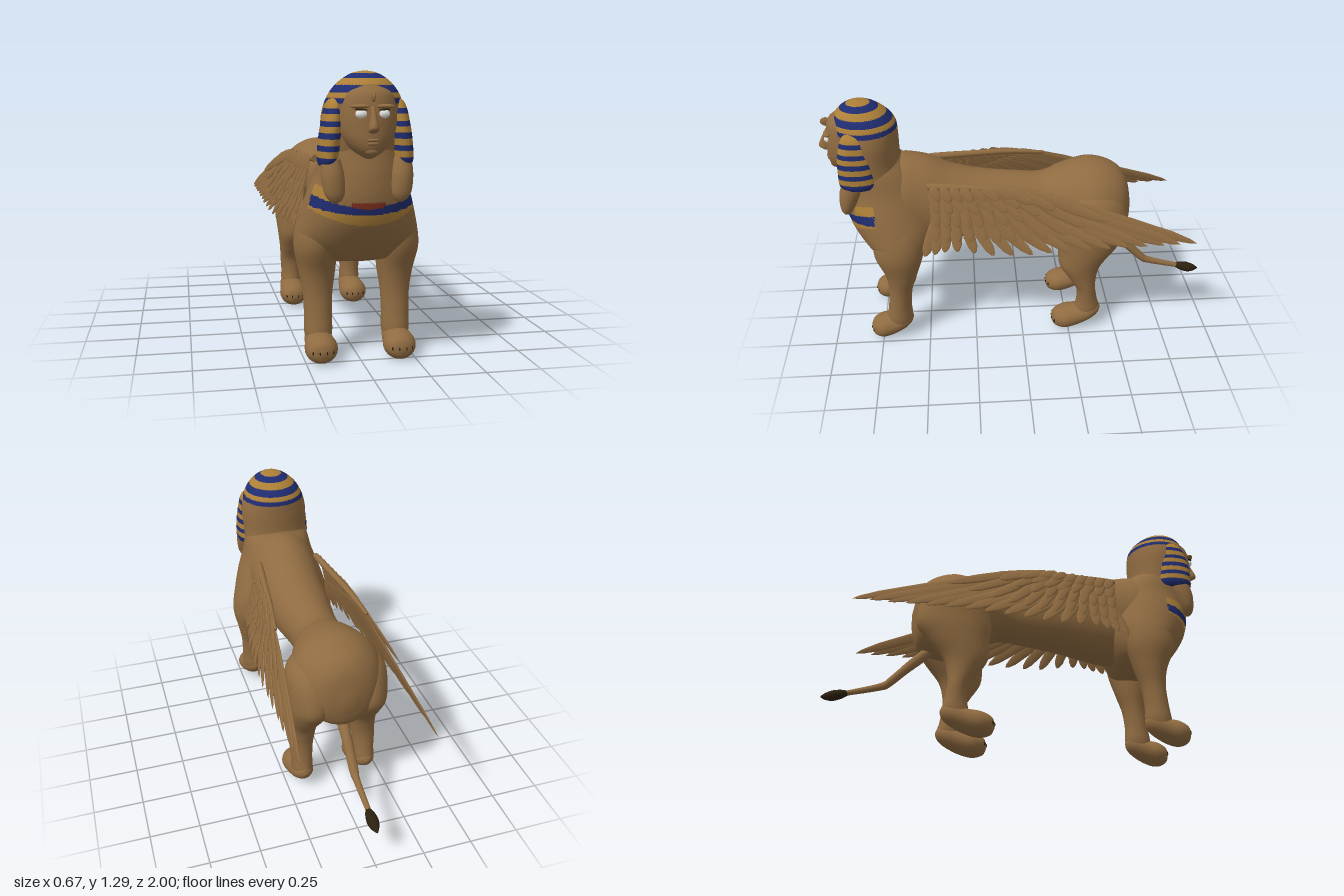
import * as THREE from 'three';
import { mergeGeometries } from 'three/addons/utils/BufferGeometryUtils.js';

const mat = (name, color) => Object.assign(new THREE.MeshStandardMaterial({ color }), { name });

// Smooth closed surface through elliptical sections [x, y, z, rx, r2], stacked along 'y' or 'z'
function loft(rows, axis, seg = 28, steps = 6) {
  const curve = (pick) => new THREE.CatmullRomCurve3(rows.map(pick), false, 'catmullrom', 0.5);
  const centre = curve((r) => new THREE.Vector3(r[0], r[1], r[2]));
  const radius = curve((r) => new THREE.Vector3(r[3], r[4], 0));
  const n = (rows.length - 1) * steps, pos = [], idx = [];
  for (let i = 0; i <= n; i++) {
    const c = centre.getPoint(i / n), r = radius.getPoint(i / n);
    for (let j = 0; j < seg; j++) {
      const a = (j / seg) * Math.PI * 2;
      const u = Math.max(r.x, 0.001) * Math.cos(a), v = Math.max(r.y, 0.001) * Math.sin(a);
      pos.push(c.x + u, axis === 'z' ? c.y + v : c.y, axis === 'z' ? c.z : c.z + v);
    }
  }
  for (let i = 0; i < n; i++) for (let j = 0; j < seg; j++) {
    const a = i * seg + j, b = i * seg + ((j + 1) % seg);
    idx.push(a, b, a + seg, b, b + seg, a + seg);
  }
  const first = rows[0], last = rows[rows.length - 1], k = pos.length / 3;
  pos.push(...first.slice(0, 3), ...last.slice(0, 3));
  for (let j = 0; j < seg; j++) {
    const j2 = (j + 1) % seg;
    idx.push(k, j2, j, k + 1, n * seg + j, n * seg + j2);
  }
  // turn the faces outward
  let volume = 0;
  const P = (i) => new THREE.Vector3().fromArray(pos, i * 3);
  for (let i = 0; i < idx.length; i += 3) volume += P(idx[i]).dot(P(idx[i + 1]).cross(P(idx[i + 2])));
  if (volume < 0) idx.reverse();
  const g = new THREE.BufferGeometry();
  g.setAttribute('position', new THREE.Float32BufferAttribute(pos, 3));
  g.setIndex(idx);
  g.computeVertexNormals();
  return g;
}

// Sort triangles into material groups by a rule on their centre
function paint(g, count, rule) {
  const p = g.attributes.position, src = g.index.array, sets = Array.from({ length: count }, () => []);
  for (let i = 0; i < src.length; i += 3) {
    const t = [src[i], src[i + 1], src[i + 2]];
    const mid = (f) => (p[f](t[0]) + p[f](t[1]) + p[f](t[2])) / 3;
    sets[rule(mid('getX'), mid('getY'), mid('getZ'))].push(...t);
  }
  g.setIndex(sets.flat());
  let start = 0;
  sets.forEach((s, m) => { g.addGroup(start, s.length, m); start += s.length; });
  return g;
}

export function createModel() {
  const model = new THREE.Group();
  const body = mat('sandy brown', 0x8f6b41), gold = mat('gold', 0xac7f37), blue = mat('deep blue', 0x1f2c70);
  const red = mat('dark red', 0x80301f), white = mat('eye white', 0xe4e4e0), dark = mat('dark brown', 0x2c2110);
  const add = (name, g, m) => {
    const mesh = new THREE.Mesh(g, m);
    mesh.name = name;
    model.add(mesh);
    return mesh;
  };
  const side = (s, rows) => rows.map(([x, ...rest]) => [x * s, ...rest]);
  const blob = (name, m, x, y, z, rx, ry, rz) => {
    const mesh = add(name, new THREE.SphereGeometry(1, 16, 10), m);
    mesh.position.set(x, y, z);
    mesh.scale.set(rx, ry, rz);
    return mesh;
  };

  // Trunk and rump
  add('trunk', loft([
    [0, .72, .75, .05, .05], [0, .74, .65, .19, .235], [0, .735, .5, .188, .25], [0, .715, .35, .172, .208],
    [0, .715, .2, .16, .17], [0, .72, 0, .133, .145], [0, .725, -.12, .137, .137], [0, .72, -.22, .18, .18],
    [0, .7, -.36, .23, .23], [0, .69, -.48, .2, .21], [0, .675, -.55, .13, .155], [0, .665, -.58, .03, .04],
  ], 'z', 48), body);

  // Chest and neck, with the painted collar
  const collar = (x, y, z) => {
    const q = x * x, low = .685 + .5 * q, high = .718 + .9 * q, ax = Math.abs(x);
    if (z < .735) return 0;
    if (ax < .075 && y > .71 + q * 2 && y < .74) return 3;
    if (y > low && y < high) return 2;
    if (y > .637 + 1.2 * q && y <= low) return 1;
    return ax > .16 && y >= high && y < high + .052 ? 1 : 0;
  };
  add('chest', paint(loft([
    [0, 1.08, .74, .12, .12], [0, 1, .74, .155, .137], [0, .94, .715, .18, .17], [0, .85, .69, .2, .21],
    [0, .75, .67, .235, .23], [0, .65, .645, .265, .23], [0, .56, .63, .284, .19], [0, .49, .62, .262, .14],
    [0, .455, .62, .19, .1], [0, .44, .62, .05, .05],
  ], 'y', 120, 14), 4, collar), [body, gold, blue, red]);

  // Headdress dome with striped crown
  const crown = (x, y, z) => {
    const face = z > .84 && (x / .125) ** 2 + ((y - 1.1) / .135) ** 2 < 1;
    if (face || y < 1.155) return 0;
    return (y > 1.26 && y < 1.281) || (y > 1.2 && y < 1.232) || y < 1.178 ? 2 : 1;
  };
  add('headdress', paint(loft([
    [0, 1.293, .79, .004, .004], [0, 1.28, .787, .06, .06], [0, 1.24, .78, .118, .118], [0, 1.18, .768, .16, .155],
    [0, 1.1, .755, .182, .15], [0, 1, .745, .182, .142], [0, .93, .73, .18, .14],
  ], 'y', 80, 16), 3, crown), [body, gold, blue]);

  // Face
  add('face', loft([
    [0, 1.24, .85, .04, .04], [0, 1.2, .845, .105, .095], [0, 1.12, .843, .125, .113], [0, 1.05, .843, .122, .115],
    [0, 1, .845, .103, .112], [0, .96, .85, .07, .095], [0, .935, .855, .035, .06], [0, .92, .855, .01, .02],
  ], 'y', 40), body);
  add('nose', loft([
    [0, 1.145, .95, .01, .008], [0, 1.1, .96, .014, .022], [0, 1.06, .968, .022, .03], [0, 1.043, .962, .02, .018],
    [0, 1.035, .955, .006, .006],
  ], 'y', 20), body);
  blob('upperLip', body, 0, 1.008, .952, .03, .007, .012);
  blob('lowerLip', body, 0, .993, .95, .025, .008, .012);
  blob('chin', body, 0, .962, .93, .03, .02, .02);
  blob('browOrnament', body, 0, 1.185, .953, .008, .022, .026);
  for (const s of [-1, 1]) {
    blob('eye', white, s * .046, 1.115, .943, .027, .019, .017);
    blob('upperEyelid', dark, s * .047, 1.133, .943, .029, .004, .017).rotation.z = s * .06;
    blob('brow', body, s * .05, 1.146, .94, .045, .01, .022);

    // Striped lappets hanging beside the face, and their plain ends on the chest
    add('lappet', paint(loft(side(s, [
      [.12, 1.2, .8, .01, .02], [.138, 1.15, .803, .035, .065], [.149, 1.06, .808, .045, .085],
      [.159, .98, .808, .046, .088], [.164, .92, .805, .044, .088], [.165, .895, .805, .036, .07],
    ]), 'y', 40, 16), 2, (x, y) => (y < 1.145 && (y - .905) / .052 % 1 < .45 ? 1 : 0)), [gold, blue]);
    add('lappetEnd', loft(side(s, [
      [.155, .93, .83, .04, .05], [.15, .86, .85, .05, .053], [.145, .79, .867, .046, .038], [.142, .755, .874, .03, .022],
      [.14, .738, .876, .006, .005],
    ]), 'y', 24), body);

    // Legs
    add('frontLeg', loft(side(s, [
      [.15, .76, .63, .06, .08], [.17, .64, .63, .098, .125], [.187, .52, .634, .101, .125], [.182, .4, .63, .084, .085],
      [.18, .3, .64, .068, .062], [.18, .2, .65, .064, .06], [.18, .12, .655, .064, .066], [.18, .06, .665, .05, .045],
    ]), 'y'), body);
    add('hindLeg', loft(side(s, [
      [.11, .85, -.36, .05, .07], [.135, .75, -.37, .108, .15], [.142, .6, -.37, .114, .19], [.15, .5, -.345, .105, .155],
      [.16, .4, -.31, .085, .112], [.165, .32, -.322, .07, .075], [.17, .25, -.342, .06, .052],
      [.17, .18, -.35, .055, .055], [.17, .12, -.35, .055, .065], [.17, .06, -.33, .045, .045],
    ]), 'y'), body);
    for (const [name, x, front, k] of [['frontPaw', .18, .81, .85], ['hindPaw', .17, -.16, 1]]) {
      add(name, loft(side(s, [
        [x, .06, front, .012, .012], [x, .06, front - .018 * k, .05, .044], [x, .064, front - .07 * k, .074, .063],
        [x, .076, front - .14 * k, .067, .061], [x, .1, front - .21 * k, .057, .052],
        [x, .113, front - .25 * k, .034, .034], [x, .115, front - .265 * k, .006, .006],
      ]), 'z'), body);
      for (const o of [-.045, -.016, .016, .045])
        blob('claw', dark, s * x + o, .062, front - .002 - Math.abs(o) * .33, .004, .009, .01);
    }

    // Wings: flattened leaf feathers in overlapping layers on a sheet that leans out toward the tips
    const at = (z, y, lift) => {
      const top = .165 + .115 * (.45 - z);
      const low = .332 - .09 * THREE.MathUtils.clamp((z + .4) / .9, 0, 1) ** 2;
      return new THREE.Vector3(s * (top + (low - top) * (.9 - y) / .3 + lift), y, z);
    };
    const leaf = [[.001, 0], [.6, .06], [.95, .3], [1, .6], [.8, .85], [.4, .96], [.001, 1]]
      .map((p) => new THREE.Vector2(...p));
    const feathers = [];
    const layer = (n, roots, tips, width, lift) => {
      const path = (pts) => new THREE.CatmullRomCurve3(pts.map(([z, y]) => new THREE.Vector3(0, y, z)));
      const rc = path(roots), tc = path(tips);
      for (let i = 0; i < n; i++) {
        const r = rc.getPoint(i / (n - 1)), t = tc.getPoint(i / (n - 1));
        const a = at(r.z, r.y, lift), b = at(t.z, t.y, lift + (i % 2) * .003);
        const Y = b.clone().sub(a), length = Y.length();
        Y.normalize();
        const X = Y.clone().cross(new THREE.Vector3(s, .3, .1)).normalize(), Z = X.clone().cross(Y);
        feathers.push(new THREE.LatheGeometry(leaf, 10).scale(width, length, .006)
          .applyMatrix4(new THREE.Matrix4().makeBasis(X, Y, Z).setPosition(a)));
      }
    };
    layer(17, [[.42, .76], [.2, .8], [-.02, .875]],
      [[.5, .54], [.36, .575], [.12, .565], [-.14, .58], [-.4, .595], [-.65, .6], [-.87, .605]], .03, 0);
    layer(12, [[.43, .82], [.2, .86], [0, .885]],
      [[.44, .62], [.28, .63], [.08, .635], [-.14, .655], [-.42, .74]], .028, .006);
    layer(10, [[.44, .85], [.25, .88], [.05, .89]], [[.43, .7], [.27, .7], [.08, .715], [-.16, .8]], .027, .011);
    layer(8, [[.45, .88], [.28, .89], [.1, .895]], [[.42, .77], [.27, .77], [.1, .78], [-.05, .83]], .026, .015);
    layer(7, [[.45, .9], [.3, .9], [.15, .9]], [[.41, .83], [.25, .83], [.05, .85]], .025, .018);
    add('wingFeathers', mergeGeometries(feathers), body);
    add('wingArm', loft(side(s, [
      [.163, .893, .47, .006, .006], [.166, .892, .45, .018, .018], [.19, .89, .25, .017, .016],
      [.214, .885, .05, .015, .014], [.24, .86, -.15, .008, .008],
    ]), 'z', 16), body);
  }

  // Tail with dark tuft
  add('tail', loft([
    [0, .52, -.46, .032, .04], [0, .41, -.58, .025, .034], [0, .32, -.67, .023, .028], [0, .29, -.72, .017, .019],
    [0, .245, -.89, .013, .013],
  ], 'z', 20), body);
  add('tailTuft', loft([
    [0, .248, -.87, .012, .012], [0, .241, -.9, .024, .022], [0, .232, -.94, .029, .026], [0, .226, -.975, .018, .018],
    [0, .222, -1, .003, .003],
  ], 'z', 20), dark);

  return model;
}
